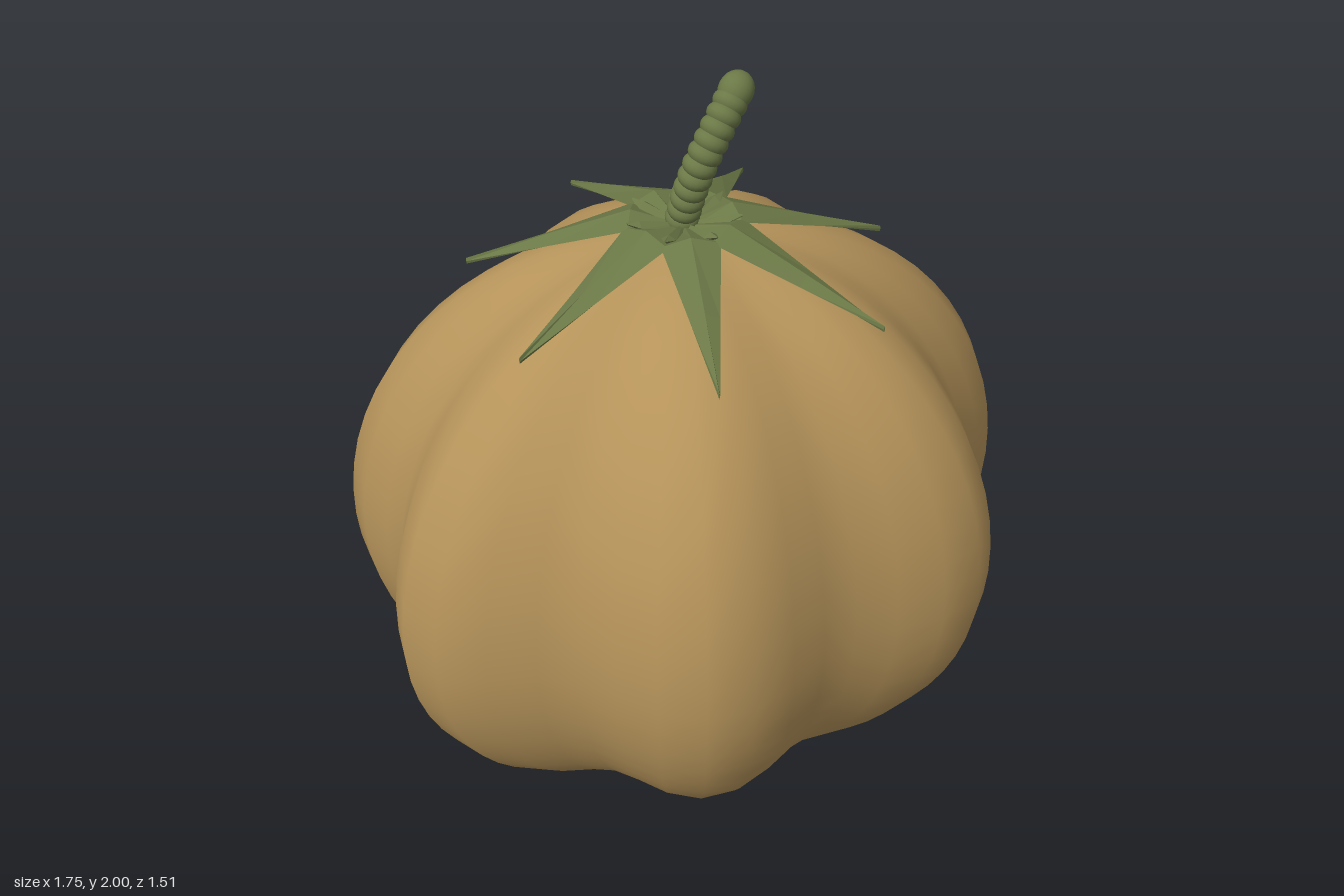
import * as THREE from 'three';
import { mergeVertices } from 'three/addons/utils/BufferGeometryUtils.js';

const LOBES = 7;
const CX = -0.04; // x of the fruit's axis

// Seven-lobed fruit: a sphere with a rippled radius, flattened along z
function fruitGeometry() {
  const geo = new THREE.SphereGeometry(1, 48, 32);
  geo.deleteAttribute('uv');
  geo.deleteAttribute('normal');
  const p = geo.attributes.position;
  for (let i = 0; i < p.count; i++) {
    const x = p.getX(i), y = p.getY(i), z = p.getZ(i);
    const r = 0.84 + 0.07 * Math.cos(LOBES * Math.atan2(z, x));
    p.setXYZ(i, x * r, 0.77 + y * (y > 0 ? 0.86 : 0.77), z * r * 0.85);
  }
  const merged = mergeVertices(geo, 1e-4);
  merged.computeVertexNormals();
  return merged;
}

// Pointed sepal: diamond cross-sections running along +x through the centre
function sepalGeometry() {
  // distance, height, half width, half thickness
  const sections = [
    [-0.14, 1.665, 0.003, 0.003],
    [-0.11, 1.655, 0.018, 0.012],
    [0.01, 1.625, 0.012, 0.012],
    [0.125, 1.65, 0.07, 0.02],
    [0.33, 1.58, 0.035, 0.015],
    [0.53, 1.512, 0.002, 0.008],
  ];
  const pos = [], idx = [];
  for (const [d, y, w, t] of sections) {
    pos.push(d, y + t, 0, d, y, w, d, y - t, 0, d, y, -w);
  }
  for (let s = 0; s < sections.length - 1; s++) {
    for (let k = 0; k < 4; k++) {
      const a = s * 4 + k, b = s * 4 + (k + 1) % 4;
      idx.push(a, b, a + 4, b, b + 4, a + 4);
    }
  }
  const e = (sections.length - 1) * 4;
  idx.push(0, 2, 1, 0, 3, 2, e, e + 1, e + 2, e, e + 2, e + 3);
  const geo = new THREE.BufferGeometry();
  geo.setAttribute('position', new THREE.Float32BufferAttribute(pos, 3));
  geo.setIndex(idx);
  const flat = geo.toNonIndexed();
  flat.computeVertexNormals();
  return flat;
}

export function createModel() {
  const skin = new THREE.MeshStandardMaterial({ color: 0xb5935a });
  skin.name = 'tan skin';
  const green = new THREE.MeshStandardMaterial({ color: 0x6b7846 });
  green.name = 'stem green';

  const model = new THREE.Group();
  model.name = 'lobedFruit';

  const fruit = new THREE.Mesh(fruitGeometry(), skin);
  fruit.name = 'fruit';
  fruit.position.x = CX;
  model.add(fruit);

  // Star of sepals, one over each lobe
  const calyx = new THREE.Group();
  calyx.name = 'calyx';
  calyx.position.x = CX;
  const sepalGeo = sepalGeometry();
  for (let i = 0; i < LOBES; i++) {
    const sepal = new THREE.Mesh(sepalGeo, green);
    sepal.name = 'sepal';
    sepal.rotation.y = (i / LOBES) * Math.PI * 2;
    calyx.add(sepal);
  }
  model.add(calyx);

  // Curved stem of overlapping knobs
  const stem = new THREE.Group();
  stem.name = 'stem';
  const path = new THREE.CatmullRomCurve3([
    new THREE.Vector3(-0.04, 1.62, -0.02),
    new THREE.Vector3(-0.035, 1.7, 0.01),
    new THREE.Vector3(-0.01, 1.8, 0.032),
    new THREE.Vector3(0.04, 1.89, 0.025),
    new THREE.Vector3(0.09, 1.953, 0),
  ]);
  const knobGeo = new THREE.SphereGeometry(1, 20, 12);
  const up = new THREE.Vector3(0, 1, 0);
  const knobs = 12;
  for (let i = 0; i <= knobs; i++) {
    const t = i / knobs;
    const knob = new THREE.Mesh(knobGeo, green);
    knob.name = 'stemKnob';
    knob.position.copy(path.getPointAt(t));
    knob.quaternion.setFromUnitVectors(up, path.getTangentAt(t));
    const r = 0.042;
    knob.scale.set(r, i === knobs ? 0.047 : 0.03, r);
    stem.add(knob);
  }
  model.add(stem);

  return model;
}
